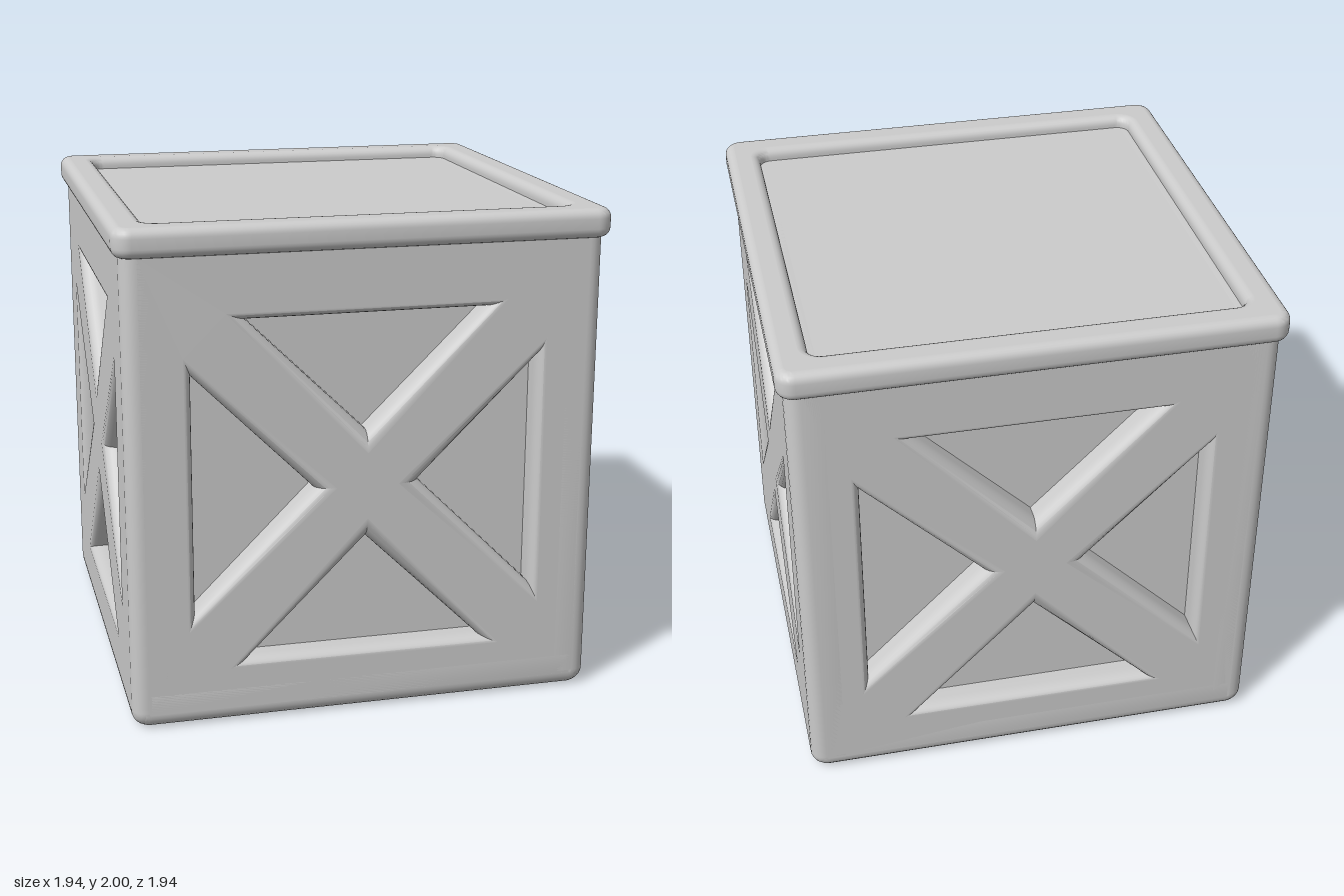
import * as THREE from 'three';
import { toCreasedNormals } from 'three/addons/utils/BufferGeometryUtils.js';

const material = new THREE.MeshStandardMaterial({ color: 0xcccccc });

// Rectangle with rounded corners, as a Shape or a Path
function roundedRect(path, x0, y0, x1, y1, r) {
  path.moveTo(x0 + r, y0);
  path.lineTo(x1 - r, y0);
  path.absarc(x1 - r, y0 + r, r, -Math.PI / 2, 0);
  path.lineTo(x1, y1 - r);
  path.absarc(x1 - r, y1 - r, r, 0, Math.PI / 2);
  path.lineTo(x0 + r, y1);
  path.absarc(x0 + r, y1 - r, r, Math.PI / 2, Math.PI);
  path.lineTo(x0, y0 + r);
  path.absarc(x0 + r, y0 + r, r, Math.PI, Math.PI * 1.5);
  return path;
}

// Plate with softly rounded edges: outer face at z = front, flat caps, smooth bevels
function softPlate(shape, front, thickness, bevel) {
  let geo = new THREE.ExtrudeGeometry(shape, {
    depth: thickness - 2 * bevel, curveSegments: 6,
    bevelThickness: bevel, bevelSize: bevel, bevelOffset: -bevel, bevelSegments: 6,
  });
  geo.translate(0, 0, front - thickness + bevel);
  geo = toCreasedNormals(geo, 0.6);
  const p = geo.attributes.position, n = geo.attributes.normal;
  for (let i = 0; i < p.count; i += 3) {
    const z = p.getZ(i);
    if (Math.abs(z - p.getZ(i + 1)) > 1e-5 || Math.abs(z - p.getZ(i + 2)) > 1e-5) continue;
    const s = z > front - thickness / 2 ? 1 : -1;
    for (let k = 0; k < 3; k++) n.setXYZ(i + k, 0, 0, s);
  }
  return geo;
}

// Side frame with a cross brace, left over between four triangular openings
function braceShape({ halfX, halfY, tipX, tipY, apexX, apexY }) {
  const cy = 0.945;
  const shape = roundedRect(new THREE.Shape(), -0.94, 0, 0.94, 1.95, 0.07);
  const triangle = (...pts) =>
    shape.holes.push(new THREE.Path(pts.map(([x, y]) => new THREE.Vector2(x, y + cy))));
  for (const s of [1, -1]) {
    triangle([-tipX, s * halfY], [tipX, s * halfY], [0, s * apexY]);
    triangle([s * halfX, -tipY], [s * halfX, tipY], [s * apexX, 0]);
  }
  return shape;
}

export function createModel() {
  const crate = new THREE.Group();
  crate.name = 'crate';
  const add = (name, geo) => {
    const mesh = new THREE.Mesh(geo, material);
    mesh.name = name;
    crate.add(mesh);
    return mesh;
  };

  // Inner box showing through the openings as recessed panels
  add('innerPanels', new THREE.BoxGeometry(1.66, 1.835, 1.66)).position.y = 0.115 + 1.835 / 2;

  // Four braced sides
  const frontGeo = softPlate(braceShape(
    { halfX: 0.685, halfY: 0.685, tipX: 0.475, tipY: 0.475, apexX: 0.21, apexY: 0.218 }), 0.94, 0.2, 0.06);
  const sideGeo = softPlate(braceShape(
    { halfX: 0.655, halfY: 0.685, tipX: 0.45, tipY: 0.44, apexX: 0.22, apexY: 0.235 }), 0.943, 0.2, 0.06);
  ['frontBrace', 'leftBrace', 'backBrace', 'rightBrace'].forEach((name, i) => {
    add(name, i % 2 ? sideGeo : frontGeo).rotation.y = i * Math.PI / 2;
  });

  // Bottom frame around a recessed base
  const bottom = roundedRect(new THREE.Shape(), -0.94, -0.94, 0.94, 0.94, 0.07);
  bottom.holes.push(new THREE.Path([[-1, -1], [1, -1], [1, 1], [-1, 1]]
    .map(([x, y]) => new THREE.Vector2(x * 0.69, y * 0.69))));
  add('bottomFrame', softPlate(bottom, 0, 0.2, 0.06)).rotation.x = Math.PI / 2;

  // Raised rim around the top
  const rim = roundedRect(new THREE.Shape(), -0.97, -0.97, 0.97, 0.97, 0.07);
  rim.holes.push(roundedRect(new THREE.Path(), -0.83, -0.83, 0.83, 0.83, 0.05));
  add('topRim', softPlate(rim, 2, 0.115, 0.038)).rotation.x = -Math.PI / 2;

  return crate;
}
